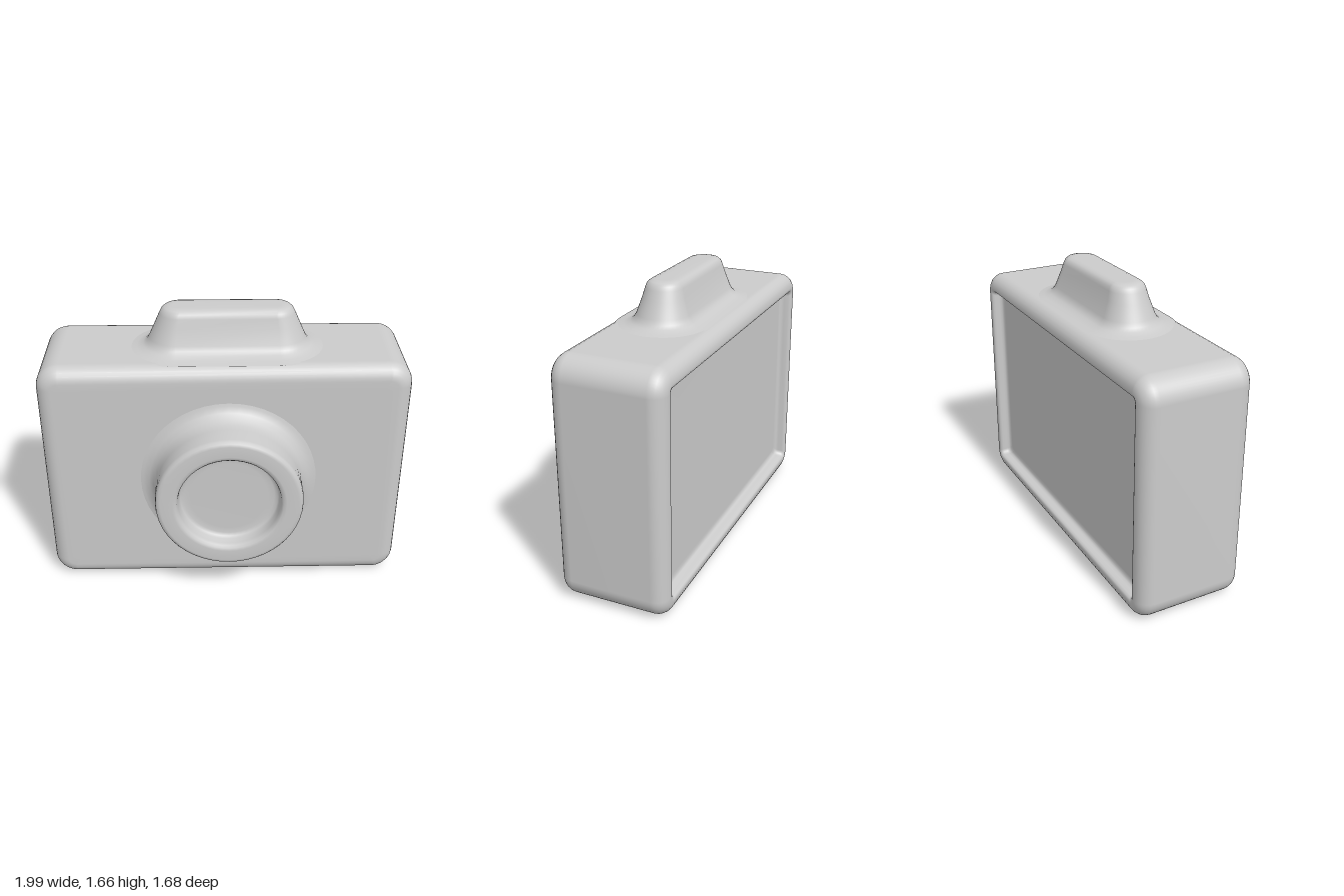
import * as THREE from 'three';
import { mergeVertices } from 'three/addons/utils/BufferGeometryUtils.js';

const ARC = 12; // segments per rounded corner

// Skins a stack of rounded rectangles; each ring is [halfWidth, halfHeight, cornerRadius, z].
function loft(rings) {
  const pos = [], index = [], n = 4 * (ARC + 1);
  for (const [w, h, r, z] of rings) {
    for (let c = 0; c < 4; c++) {
      const sx = c === 0 || c === 3 ? 1 : -1, sy = c < 2 ? 1 : -1;
      for (let k = 0; k <= ARC; k++) {
        const a = (c + k / ARC) * Math.PI / 2;
        pos.push(sx * (w - r) + r * Math.cos(a), sy * (h - r) + r * Math.sin(a), z);
      }
    }
  }
  for (let i = 0; i < rings.length - 1; i++) {
    for (let j = 0; j < n; j++) {
      const a = i * n + j, b = i * n + (j + 1) % n;
      index.push(a, b, b + n, a, b + n, a + n);
    }
  }
  let g = new THREE.BufferGeometry();
  g.setAttribute('position', new THREE.Float32BufferAttribute(pos, 3));
  g.setIndex(index);
  g = mergeVertices(g, 1e-5);
  // drop triangles collapsed by the merge
  const src = g.index.array, keep = [];
  for (let i = 0; i < src.length; i += 3) {
    const [a, b, c] = [src[i], src[i + 1], src[i + 2]];
    if (a !== b && b !== c && c !== a) keep.push(a, b, c);
  }
  g.setIndex(keep);
  g.computeVertexNormals();
  return g;
}

export function createModel() {
  const group = new THREE.Group();
  group.name = 'camera';
  const material = new THREE.MeshStandardMaterial({ color: 0xcccccc });
  const add = (name, geometry) => {
    const mesh = new THREE.Mesh(geometry, material);
    mesh.name = name;
    group.add(mesh);
    return mesh;
  };

  // Body: recessed back screen, rim, rounded sides, flat front
  const W = 1.038, H = 0.71, D = 0.323, R = 0.13, E = 0.085;
  const inset = (d, z) => [W - d, H - d, Math.max(R - d, 0.03), z];
  const rings = [
    [0, 0, 0, -0.255],
    inset(0.16, -0.255), inset(0.135, -0.256), inset(0.122, -0.265),
    inset(0.117, -0.28), inset(0.113, -0.305), inset(0.106, -0.318),
    inset(0.096, -D),
  ];
  const edge = (from, to, sign) => {
    for (let k = 0; k <= 6; k++) {
      const a = from + (to - from) * k / 6;
      rings.push(inset(E * (1 - Math.cos(a)), sign * (D - E + E * Math.sin(a))));
    }
  };
  edge(Math.PI / 2, 0, -1);
  edge(0, Math.PI / 2, 1);
  rings.push(inset(0.13, D), [0, 0, 0, D]);
  add('body', loft(rings)).position.y = H;

  // Lens barrel: filleted base, rounded rim, shallow dished glass
  const lensProfile = [
    [0.53, 0.318], [0.49, 0.326], [0.455, 0.342], [0.43, 0.37], [0.418, 0.41],
    [0.415, 0.45], [0.415, 0.55], [0.411, 0.568], [0.402, 0.579], [0.385, 0.584],
    [0.32, 0.584], [0.302, 0.58], [0.292, 0.569], [0.288, 0.55],
    [0.283, 0.515], [0.275, 0.5], [0.255, 0.493], [0.22, 0.491], [0, 0.491],
  ];
  const lens = add('lens', loft(lensProfile.map(([r, z]) => [r, r, r, z])));
  lens.position.set(0.02, 0.705, 0);

  // Flash hump: tapered oval, filleted into the top
  const flash = add('flashHump', loft([
    [0.56, 0.27, 0.27, 1.417], [0.51, 0.22, 0.22, 1.425], [0.475, 0.185, 0.185, 1.438],
    [0.455, 0.165, 0.165, 1.455], [0.44, 0.15, 0.15, 1.48], [0.4, 0.12, 0.12, 1.57],
    [0.378, 0.108, 0.108, 1.62], [0.367, 0.1, 0.1, 1.642], [0.35, 0.085, 0.085, 1.656],
    [0.325, 0.065, 0.065, 1.662], [0.3, 0.045, 0.045, 1.663], [0, 0, 0, 1.664],
  ]));
  flash.rotation.x = -Math.PI / 2;
  flash.position.set(0.02, 0, 0.01);

  // The whole camera is turned towards its right
  group.rotation.y = -0.632;
  return group;
}
